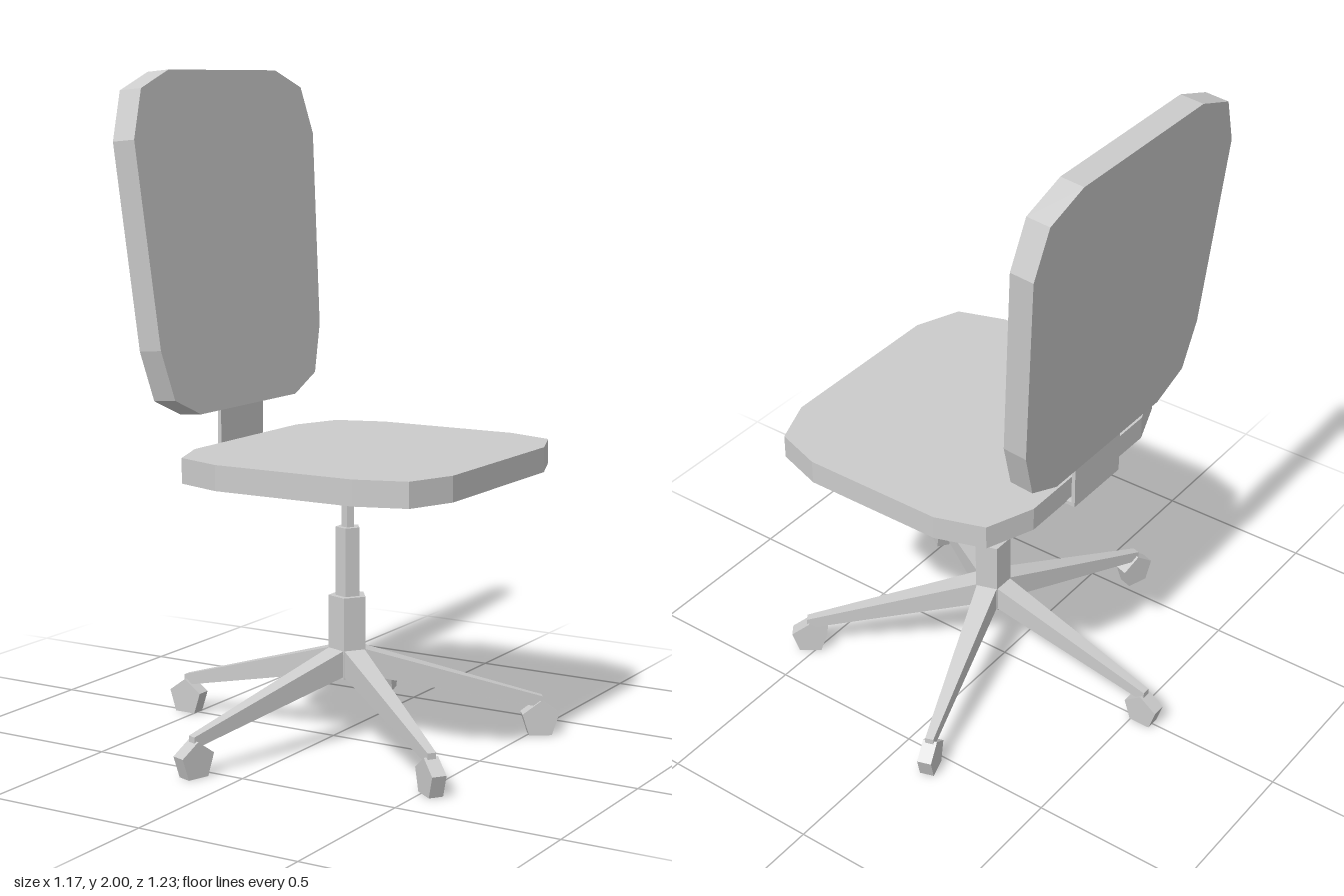
import * as THREE from 'three';

const AXIS = 0.052; // x of the central column
const mat = new THREE.MeshStandardMaterial({ color: 0xcccccc, flatShading: true });

function add(parent, name, geometry, x = 0, y = 0, z = 0) {
  const mesh = new THREE.Mesh(geometry, mat);
  mesh.name = name;
  mesh.position.set(x, y, z);
  parent.add(mesh);
  return mesh;
}

// Shape from half an outline of [across, along] points, mirrored across the middle
function mirroredShape(half) {
  const other = half.map(([a, b]) => [-a, b]).reverse();
  return new THREE.Shape([...half, ...other].map(([a, b]) => new THREE.Vector2(a, b)));
}

function slab(half, depth) {
  return new THREE.ExtrudeGeometry(mirroredShape(half), { depth, bevelEnabled: false });
}

// Five-sided prism with one corner towards +x
function column(parent, name, r, y0, y1) {
  const g = new THREE.CylinderGeometry(r, r, y1 - y0, 5, 1, false, Math.PI / 2);
  add(parent, name, g, AXIS, (y0 + y1) / 2, 0);
}

// Box tapered from the hub to the caster
function armGeometry() {
  const g = new THREE.BoxGeometry(1, 1, 1);
  const p = g.attributes.position;
  for (let i = 0; i < p.count; i++) {
    const outer = p.getX(i) > 0, top = p.getY(i) > 0;
    const y = outer ? (top ? 0.12 : 0.085) : (top ? 0.285 : 0.205);
    p.setXYZ(i, outer ? 0.592 : 0.045, y, Math.sign(p.getZ(i)) * (outer ? 0.013 : 0.033));
  }
  g.computeVertexNormals();
  return g;
}

export function createModel() {
  const chair = new THREE.Group();
  chair.name = 'swivelChair';

  // Seat cushion, facing +x
  const seat = slab([[0.28, -0.308], [0.43, -0.25], [0.48, -0.1], [0.48, 0.35], [0.43, 0.5], [0.285, 0.557]], 0.075);
  seat.rotateX(Math.PI / 2).rotateY(Math.PI / 2);
  add(chair, 'seat', seat, 0, 0.895, 0);

  // Leaning backrest
  const back = slab([[0.26, 0], [0.385, 0.055], [0.435, 0.205], [0.48, 0.81], [0.427, 0.955], [0.285, 1.008]], 0.075);
  back.rotateY(Math.PI / 2).rotateZ(0.087);
  add(chair, 'backrest', back, -0.372, 0.99, 0);

  // Bent plate joining seat and backrest
  const bracket = new THREE.Group();
  bracket.name = 'backBracket';
  chair.add(bracket);
  add(bracket, 'bracketUpright', new THREE.BoxGeometry(0.012, 0.238, 0.23), -0.331, 0.931, 0);
  add(bracket, 'bracketFoot', new THREE.BoxGeometry(0.187, 0.012, 0.23), -0.2435, 0.818, 0);

  // Tapered pan under the seat
  const pan = new THREE.CylinderGeometry(Math.SQRT2, 0.62 * Math.SQRT2, 0.042, 4, 1);
  pan.rotateY(Math.PI / 4).scale(0.255, 1, 0.2);
  add(chair, 'seatPan', pan, AXIS + 0.003, 0.8, 0);

  // Telescopic column
  column(chair, 'hub', 0.06, 0.197, 0.445);
  column(chair, 'columnSleeve', 0.039, 0.44, 0.653);
  column(chair, 'pistonRod', 0.02, 0.65, 0.785);

  // Five arms with casters
  const arm = armGeometry();
  const caster = new THREE.CylinderGeometry(0.059, 0.059, 0.044, 5).rotateX(-Math.PI / 2);
  for (let i = 0; i < 5; i++) {
    const leg = new THREE.Group();
    leg.name = `leg${i + 1}`;
    leg.position.x = AXIS;
    leg.rotation.y = Math.PI + (i * Math.PI * 2) / 5;
    chair.add(leg);
    add(leg, 'arm', arm);
    add(leg, 'caster', caster, 0.585, 0.048, 0);
  }
  return chair;
}
